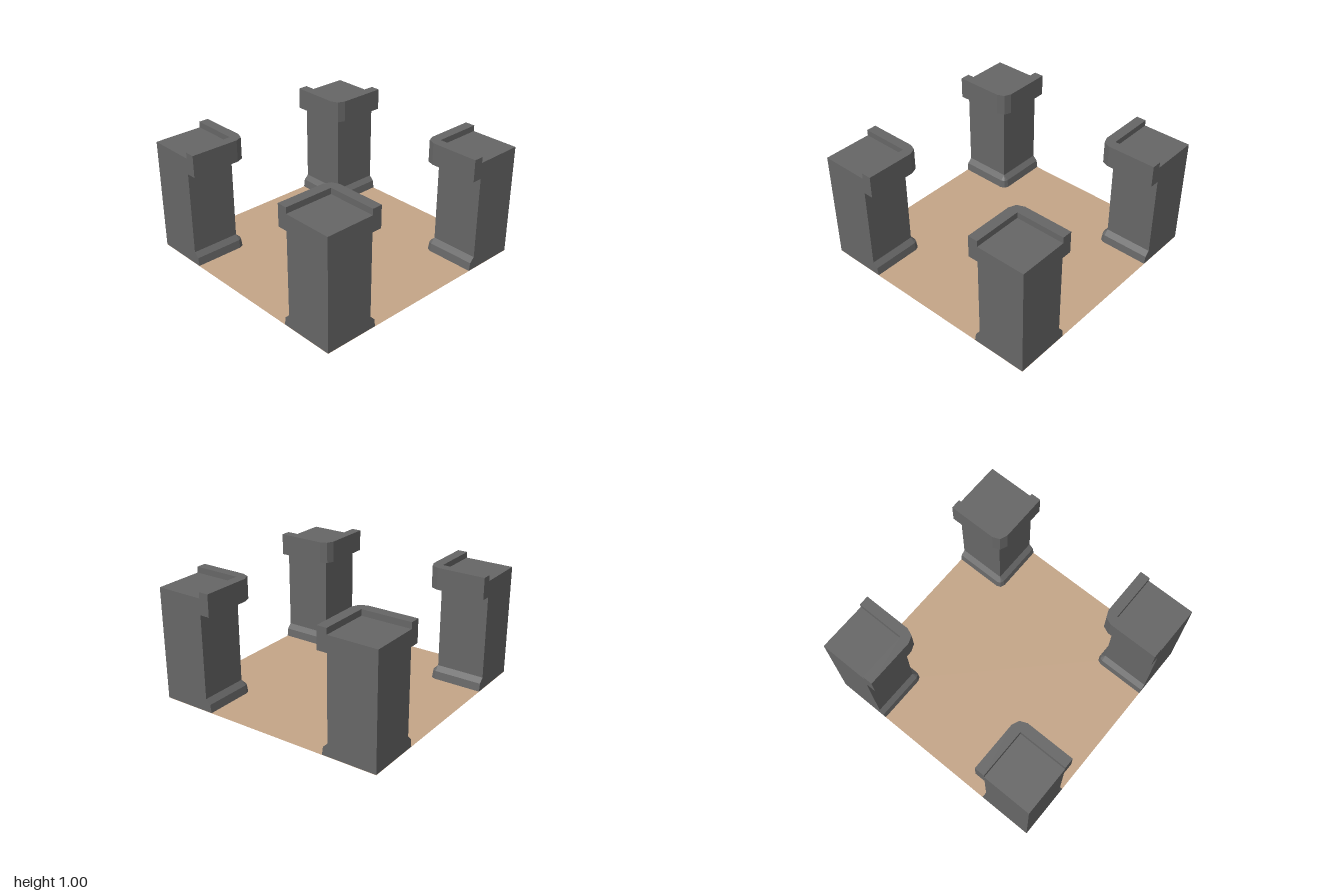
import * as THREE from 'three';

const INNER = 0.585; // inner faces of each pillar shaft
const LIFT = 0.002;  // keeps pillar undersides clear of the floor
const stone = new THREE.MeshStandardMaterial({ color: 0x666666, flatShading: true });
const sand = new THREE.MeshStandardMaterial({ color: 0xc4a587, side: THREE.DoubleSide });

// Sweeps a convex profile of [offset, y] along the two inner pillar faces, rounding the corner.
function sweepTrim(profile) {
  const s = Math.SQRT1_2;
  // path stations: x, z, outward direction x, outward direction z
  const stations = [
    [1, INNER, 0, -1], [INNER, INNER, 0, -1], [INNER, INNER, -s, -s],
    [INNER, INNER, -1, 0], [INNER, 1, -1, 0],
  ];
  const rings = stations.map(([x, z, dx, dz]) =>
    profile.map(([o, y]) => new THREE.Vector3(x + dx * o, y, z + dz * o)));
  const points = [];
  const tri = (a, b, c) => {
    if (new THREE.Triangle(a, b, c).getArea() > 1e-8) points.push(a, b, c);
  };
  const n = profile.length;
  for (let i = 0; i < rings.length - 1; i++) {
    for (let j = 0; j < n; j++) {
      const k = (j + 1) % n;
      tri(rings[i][j], rings[i + 1][j], rings[i + 1][k]);
      tri(rings[i][j], rings[i + 1][k], rings[i][k]);
    }
  }
  // end caps
  const first = rings[0], last = rings[rings.length - 1];
  for (let j = 1; j < n - 1; j++) {
    tri(first[0], first[j], first[j + 1]);
    tri(last[0], last[j + 1], last[j]);
  }
  const geometry = new THREE.BufferGeometry().setFromPoints(points);
  geometry.computeVertexNormals();
  return geometry;
}

function addPart(parent, name, geometry, material) {
  const mesh = new THREE.Mesh(geometry, material);
  mesh.name = name;
  parent.add(mesh);
  return mesh;
}

export function createModel() {
  const model = new THREE.Group();
  model.name = 'pillaredFloor';

  // floor tile
  addPart(model, 'floor', new THREE.PlaneGeometry(2, 2).rotateX(-Math.PI / 2), sand);

  // shared pillar pieces for the +x, +z corner
  const width = 1 - INNER, top = 0.95, mid = (1 + INNER) / 2;
  const shaft = new THREE.BoxGeometry(width, top - LIFT, width).translate(mid, (top + LIFT) / 2, mid);
  const base = sweepTrim([[0.05, LIFT], [0.04, 0.07], [0, 0.11], [0, LIFT]]);
  const rim = sweepTrim([[0.085, 0.815], [0.085, 1], [0, 1], [0, 0.815]]);

  // one pillar per corner
  const names = ['frontLeftPillar', 'backLeftPillar', 'backRightPillar', 'frontRightPillar'];
  names.forEach((name, i) => {
    const pillar = new THREE.Group();
    pillar.name = name;
    addPart(pillar, 'shaft', shaft, stone);
    addPart(pillar, 'baseMoulding', base, stone);
    addPart(pillar, 'parapetRim', rim, stone);
    pillar.rotation.y = i * Math.PI / 2;
    model.add(pillar);
  });
  return model;
}
